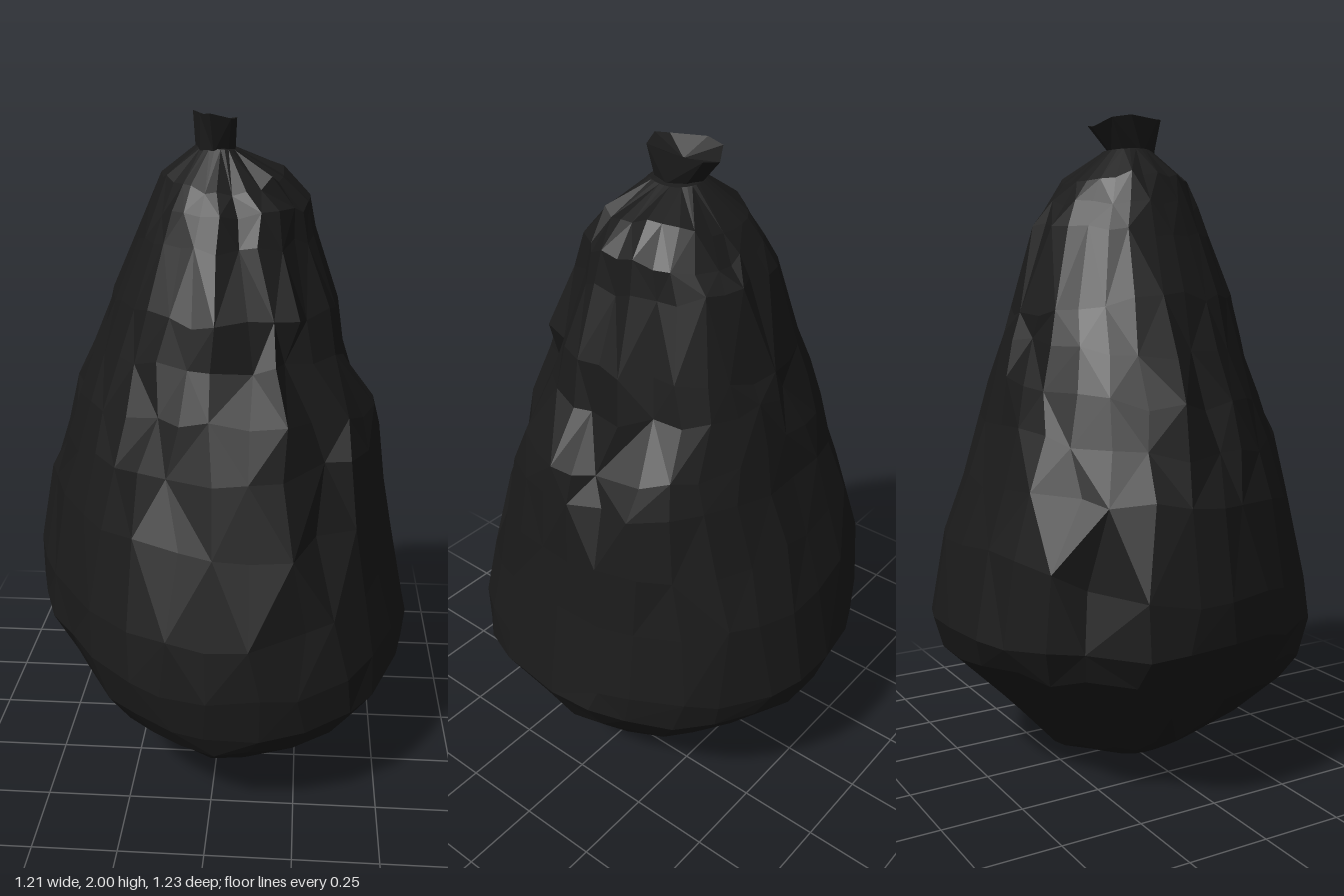
import * as THREE from 'three';

const TAU = Math.PI * 2;
const SIDES = 28;

// Outline of the sack on each side, as [distance from the axis, height]
const LEFT = [[0.12, 0.01], [0.275, 0.06], [0.44, 0.195], [0.515, 0.255], [0.6, 0.4], [0.585, 0.48],
  [0.54, 0.705], [0.51, 0.88], [0.48, 1.065], [0.455, 1.145], [0.365, 1.31], [0.34, 1.455],
  [0.27, 1.65], [0.255, 1.745], [0.18, 1.835], [0.05, 1.89]];
const RIGHT = [[0.09, 0.01], [0.165, 0.04], [0.28, 0.125], [0.42, 0.27], [0.53, 0.39], [0.6, 0.505],
  [0.6, 0.64], [0.55, 0.9], [0.5, 1.03], [0.455, 1.16], [0.4, 1.305], [0.335, 1.47],
  [0.26, 1.645], [0.22, 1.74], [0.18, 1.83], [0.08, 1.905]];
const FRONT = [[0.1, 0.005], [0.23, 0.02], [0.41, 0.1], [0.573, 0.22], [0.6, 0.28], [0.61, 0.415],
  [0.589, 0.575], [0.53, 0.82], [0.477, 1.03], [0.42, 1.18], [0.366, 1.325], [0.35, 1.45],
  [0.27, 1.645], [0.235, 1.725], [0.2, 1.79], [0.08, 1.9]];
const BACK = [[0.08, 0.01], [0.154, 0.03], [0.27, 0.07], [0.424, 0.24], [0.578, 0.4], [0.61, 0.495],
  [0.567, 0.745], [0.5, 0.92], [0.44, 1.09], [0.41, 1.22], [0.38, 1.35], [0.35, 1.41],
  [0.287, 1.67], [0.245, 1.735], [0.2, 1.8], [0.08, 1.9]];

// Bulge of the belly every 15 degrees, from the left side round by the front
const BELLY = [1, 1, 1.02, 1.07, 1.07, 1.045, 1, 0.975, 0.96, 0.945, 0.935, 0.955,
  1, 1.03, 1.06, 1.0, 0.965, 0.985, 1, 1.03, 1.04, 1.03, 1.01, 1];

// Creases: lower height, upper height, angle at each end, depth
const FOLDS = [
  [1.25, 1.85, 1.25, 1.35, 0.03],
  [0.95, 1.50, 0.75, 1.10, 0.04],
  [0.50, 1.15, 1.10, 0.75, 0.055],
  [0.75, 1.25, 1.70, 2.00, 0.03],
  [1.25, 1.80, 0.75, 0.55, 0.03],
  [0.95, 1.35, -0.35, 0.10, 0.035],
  [1.10, 1.80, -0.50, -0.45, 0.035],
  [1.20, 1.75, -1.80, -1.45, 0.04],
  [0.35, 1.00, -2.45, -2.30, 0.05],
  [0.85, 1.45, -3.30, -3.05, 0.035],
];

function seeded(seed) {
  return () => (seed = (seed * 16807) % 2147483647) / 2147483647 - 0.5;
}

// Pulls the nearest column onto each crease and sinks it; the next column rises as a ridge
function crease(y, angle) {
  const step = TAU / SIDES;
  let snapped = angle, offset = 0;
  for (const [y0, y1, a0, a1, depth] of FOLDS) {
    const t = (y - y0) / (y1 - y0);
    if (t <= 0 || t >= 1) continue;
    const raw = angle - (a0 + (a1 - a0) * t);
    const d = Math.atan2(Math.sin(raw), Math.cos(raw));
    const strength = depth * Math.sin(Math.PI * t);
    if (Math.abs(d) < step / 2) {
      snapped = angle - d;
      offset -= strength;
    } else if (d > 0 && d < step * 1.5) offset += strength * 0.35;
  }
  return [snapped, offset];
}

// Lopsided section: the belly table low down, easing into soft corners higher up
function swell(y, angle) {
  const u = ((angle / TAU + 1) % 1) * BELLY.length, k = Math.floor(u);
  const belly = THREE.MathUtils.lerp(BELLY[k], BELLY[(k + 1) % BELLY.length], u - k);
  const c = Math.cos(angle), s = Math.sin(angle);
  const corner = c < 0 && s > 0 ? -0.07 : c > 0 && s < 0 ? 0.05 : 0.055;
  const upper = 1 + corner * Math.abs(Math.sin(2 * angle));
  return THREE.MathUtils.lerp(belly, upper, THREE.MathUtils.smoothstep(y, 0.55, 1.05));
}

// Joins rings of equal length into a faceted skin, closing either end at a point
function loft(rings, bottom, top) {
  const n = rings[0].length, pos = [];
  const tri = (...pts) => pts.forEach((p) => pos.push(...p));
  for (let i = 0; i < rings.length - 1; i++) {
    for (let j = 0; j < n; j++) {
      const k = (j + 1) % n;
      const a = rings[i][j], b = rings[i][k], c = rings[i + 1][j], d = rings[i + 1][k];
      if ((i + j) % 2) { tri(a, c, b); tri(b, c, d); }
      else { tri(a, c, d); tri(a, d, b); }
    }
  }
  const last = rings[rings.length - 1];
  for (let j = 0; j < n; j++) {
    const k = (j + 1) % n;
    if (bottom) tri(bottom, rings[0][j], rings[0][k]);
    if (top) tri(top, last[k], last[j]);
  }
  const geometry = new THREE.BufferGeometry();
  geometry.setAttribute('position', new THREE.Float32BufferAttribute(pos, 3));
  geometry.computeVertexNormals();
  return geometry;
}

function sackGeometry() {
  const rand = seeded(4127);
  const rings = LEFT.map((_, i) => {
    const rough = i > 1 && i < LEFT.length - 1 ? 1 : 0;
    return Array.from({ length: SIDES }, (_, j) => {
      const column = ((j + rand() * 0.3 * rough) / SIDES) * TAU;
      const [rx, hx] = (Math.cos(column) > 0 ? LEFT : RIGHT)[i];
      const [rz, hz] = (Math.sin(column) > 0 ? FRONT : BACK)[i];
      const h = THREE.MathUtils.lerp(hx, hz, Math.sin(column) ** 2);
      const [angle, fold] = crease(h, column);
      const r = swell(h, angle) + rand() * 0.015 * rough;
      return [
        Math.cos(angle) * (rx * r + fold),
        h + rand() * 0.03 * rough,
        Math.sin(angle) * (rz * r + fold),
      ];
    });
  });
  return loft(rings, [0.02, 0, 0.03], [-0.02, 1.91, 0]);
}

// Gathered neck opening into a ragged, flared tuft
function tuftGeometry() {
  const rim = [
    [0.04, 1.98, 0.0], [0.03, 1.985, 0.08], [-0.03, 2.0, 0.1], [-0.06, 1.995, 0.07],
    [-0.09, 2.0, -0.04], [-0.08, 1.99, -0.1], [-0.02, 1.965, -0.135], [0.035, 1.975, -0.12],
  ];
  const neck = rim.map((_, j) => {
    const a = (j / rim.length) * TAU;
    return [-0.02 + Math.cos(a) * 0.058, 1.89, 0.005 + Math.sin(a) * 0.075];
  });
  return loft([neck, rim], null, [-0.02, 1.95, -0.01]);
}

export function createModel() {
  const group = new THREE.Group();
  group.name = 'tiedSack';
  const material = new THREE.MeshStandardMaterial({
    color: 0x1a1a1a, flatShading: true, side: THREE.DoubleSide,
  });
  const add = (name, geometry) => {
    const mesh = new THREE.Mesh(geometry, material);
    mesh.name = name;
    group.add(mesh);
  };
  add('sackBody', sackGeometry());
  add('tiedTuft', tuftGeometry());
  return group;
}
